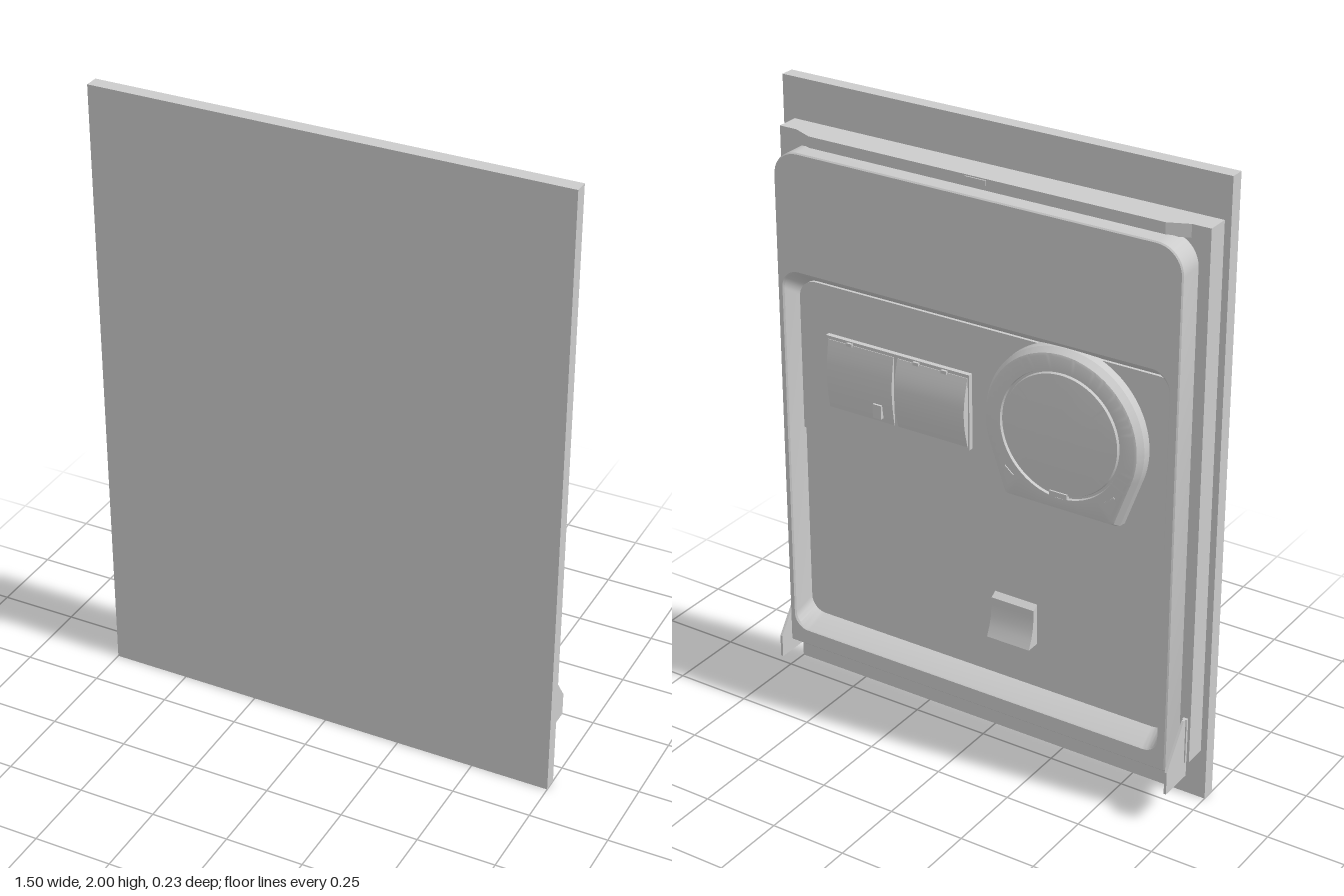
import * as THREE from 'three';
import { toCreasedNormals } from 'three/addons/utils/BufferGeometryUtils.js';

const material = new THREE.MeshStandardMaterial({ color: 0xcccccc });
const rad = THREE.MathUtils.degToRad;

function add(group, name, geometry) {
  const mesh = new THREE.Mesh(geometry, material);
  mesh.name = name;
  group.add(mesh);
  return mesh;
}

// Box given by its limits on each axis
function box(group, name, x0, x1, y0, y1, z0, z1) {
  const mesh = add(group, name, new THREE.BoxGeometry(x1 - x0, y1 - y0, z1 - z0));
  mesh.position.set((x0 + x1) / 2, (y0 + y1) / 2, (z0 + z1) / 2);
  return mesh;
}

// Rounded rectangle loop, counter-clockwise in x/y
function rectLoop(x0, x1, y0, y1, rTop, rBottom, z) {
  const corners = [
    [x1 - rBottom, y0 + rBottom, rBottom, -90], [x1 - rTop, y1 - rTop, rTop, 0],
    [x0 + rTop, y1 - rTop, rTop, 90], [x0 + rBottom, y0 + rBottom, rBottom, 180],
  ];
  const points = [];
  for (const [cx, cy, r, start] of corners) {
    for (let i = 0; i <= 10; i++) {
      const a = rad(start + i * 9);
      points.push(new THREE.Vector3(cx + r * Math.cos(a), cy + r * Math.sin(a), z));
    }
  }
  return points;
}

// Skin successive loops towards the back, closing the last with a fan
function loft(loops, crease = 0.5) {
  const out = [];
  const tri = (...vs) => vs.forEach((v) => out.push(v.x, v.y, v.z));
  const n = loops[0].length;
  for (let k = 0; k < loops.length - 1; k++) {
    for (let i = 0; i < n; i++) {
      const j = (i + 1) % n;
      const [p, q] = [loops[k], loops[k + 1]];
      tri(p[i], q[i], q[j]);
      tri(p[i], q[j], p[j]);
    }
  }
  const last = loops[loops.length - 1];
  const centre = last.reduce((s, v) => s.add(v), new THREE.Vector3()).divideScalar(n);
  for (let i = 0; i < n; i++) tri(centre, last[(i + 1) % n], last[i]);
  const geometry = new THREE.BufferGeometry();
  geometry.setAttribute('position', new THREE.Float32BufferAttribute(out, 3));
  geometry.computeVertexNormals();
  return toCreasedNormals(geometry, crease);
}

// Side profile of [depth towards the back, height] points, swept along x
function sideProfile(points, x0, x1) {
  const shape = new THREE.Shape(points.map(([p, y]) => new THREE.Vector2(p, y)));
  const geometry = new THREE.ExtrudeGeometry(shape, { depth: x1 - x0, bevelEnabled: false });
  geometry.rotateY(Math.PI / 2).translate(x0, 0, 0);
  return toCreasedNormals(geometry, 0.5);
}

// Fan housing outline: round above, straight sides down to a flat foot
function housingLoop(scale, z, circleRadius) {
  const points = [];
  for (let i = 0; i < 180; i++) {
    const a = rad(i * 2 - 90);
    const fromDown = Math.min(i * 2, 360 - i * 2);
    let r = 0.255;
    if (fromDown < 70) {
      r = Math.min(0.255 / Math.cos(rad(70 - fromDown)), 0.24 / Math.cos(rad(fromDown)));
    }
    r = circleRadius ?? r * scale;
    points.push(new THREE.Vector3(-0.305 + r * Math.cos(a), 1.16 + r * Math.sin(a), z));
  }
  return points;
}

export function createModel() {
  const door = new THREE.Group();
  door.name = 'applianceDoor';

  // Flat outer panel and the frame behind it
  box(door, 'frontPanel', -0.75, 0.75, 0, 2, 0.07, 0.115);
  box(door, 'doorFrame', -0.73, 0.71, 0.165, 1.87, -0.003, 0.07);

  // Tapered lip along the frame's top edge
  const lip = new THREE.Shape([
    new THREE.Vector2(-0.67, 0), new THREE.Vector2(0.65, 0),
    new THREE.Vector2(0.585, 0.028), new THREE.Vector2(-0.605, 0.028),
  ]);
  const lipGeometry = new THREE.ExtrudeGeometry(lip, { depth: 0.04, bevelEnabled: false });
  lipGeometry.rotateX(-Math.PI / 2);
  add(door, 'topLip', lipGeometry).position.set(0, 1.83, -0.003);
  box(door, 'lockCatch', -0.03, 0.04, 1.85, 1.866, -0.035, -0.03);

  // Inner liner with a drafted recess
  add(door, 'innerLiner', loft([
    rectLoop(-0.695, 0.675, 0.165, 1.835, 0.085, 0.004, 0),
    rectLoop(-0.695, 0.675, 0.165, 1.835, 0.085, 0.004, -0.083),
    rectLoop(-0.691, 0.671, 0.169, 1.831, 0.081, 0.004, -0.087),
    rectLoop(-0.668, 0.658, 0.218, 1.458, 0.06, 0.05, -0.087),
    rectLoop(-0.664, 0.654, 0.222, 1.452, 0.06, 0.05, -0.082),
    rectLoop(-0.655, 0.645, 0.25, 1.405, 0.06, 0.05, -0.01),
  ]));
  add(door, 'upperRecessPanel', loft([
    rectLoop(-0.655, 0.645, 0.9, 1.405, 0.06, 0.003, -0.008),
    rectLoop(-0.655, 0.645, 0.905, 1.405, 0.06, 0.003, -0.02),
  ]));

  // Detergent dispenser: base, two bowed lids and a release button
  const dispenser = new THREE.Group();
  dispenser.name = 'detergentDispenser';
  door.add(dispenser);
  box(dispenser, 'dispenserBase', 0.025, 0.54, 1.005, 1.25, -0.036, -0.015);
  const lidProfile = (bulge) => {
    const points = [[0.02, 1.015]];
    for (let i = 0; i <= 12; i++) {
      const t = i / 12;
      points.push([0.038 + bulge * Math.sin(Math.PI * t), 1.015 + 0.225 * t]);
    }
    points.push([0.02, 1.24]);
    return points;
  };
  add(dispenser, 'slidingLid', sideProfile(lidProfile(0.02), 0.03, 0.278));
  add(dispenser, 'rinseLid', sideProfile(lidProfile(0.012), 0.292, 0.53));
  box(dispenser, 'releaseButton', 0.33, 0.36, 1.03, 1.075, -0.054, -0.03);
  for (const x of [0.1, 0.2, 0.44]) box(dispenser, 'lidTab', x, x + 0.02, 1.236, 1.246, -0.044, -0.03);

  // Vent fan housing with a grooved, gently domed cover
  const fan = new THREE.Group();
  fan.name = 'ventFan';
  door.add(fan);
  add(fan, 'fanHousing', loft([
    housingLoop(1.05, -0.015), housingLoop(1.04, -0.045), housingLoop(0.99, -0.066),
    housingLoop(0.96, -0.069), housingLoop(1, -0.069, 0.202), housingLoop(1, -0.06, 0.2),
    housingLoop(1, -0.06, 0.193), housingLoop(1, -0.068, 0.19), housingLoop(1, -0.073, 0.14),
    housingLoop(1, -0.077, 0.07), housingLoop(1, -0.078, 0.02),
  ], 0.4));
  box(fan, 'coverNotch', -0.335, -0.275, 0.962, 0.978, -0.074, -0.06);
  for (const side of [-1, 1]) {
    const mark = box(fan, 'housingRib', -0.02, 0.02, -0.003, 0.003, -0.072, -0.066);
    mark.position.x = -0.305 + side * 0.17;
    mark.position.y = 1;
    mark.rotation.z = side * rad(40);
  }

  // Small hooded vent low in the recess
  const hood = [[0, 0.4], [0.055, 0.4], [0.042, 0.43], [0.034, 0.46], [0.03, 0.5], [0.03, 0.525], [0, 0.545]];
  add(door, 'ventHood', sideProfile(hood, -0.2, -0.05));

  // Hinge plates at the lower corners
  const hinge = [[-0.003, 0.11], [0.115, 0.11], [0.115, 0.185], [0.022, 0.315], [-0.003, 0.315]];
  for (const side of [-1, 1]) {
    const x = -0.01 + side * 0.704;
    add(door, 'hingePlate', sideProfile(hinge, x - 0.004, x + 0.004));
    box(door, 'hingeFoot', x - 0.008, x + 0.008, 0.165, 0.315, -0.012, 0);
  }

  return door;
}
